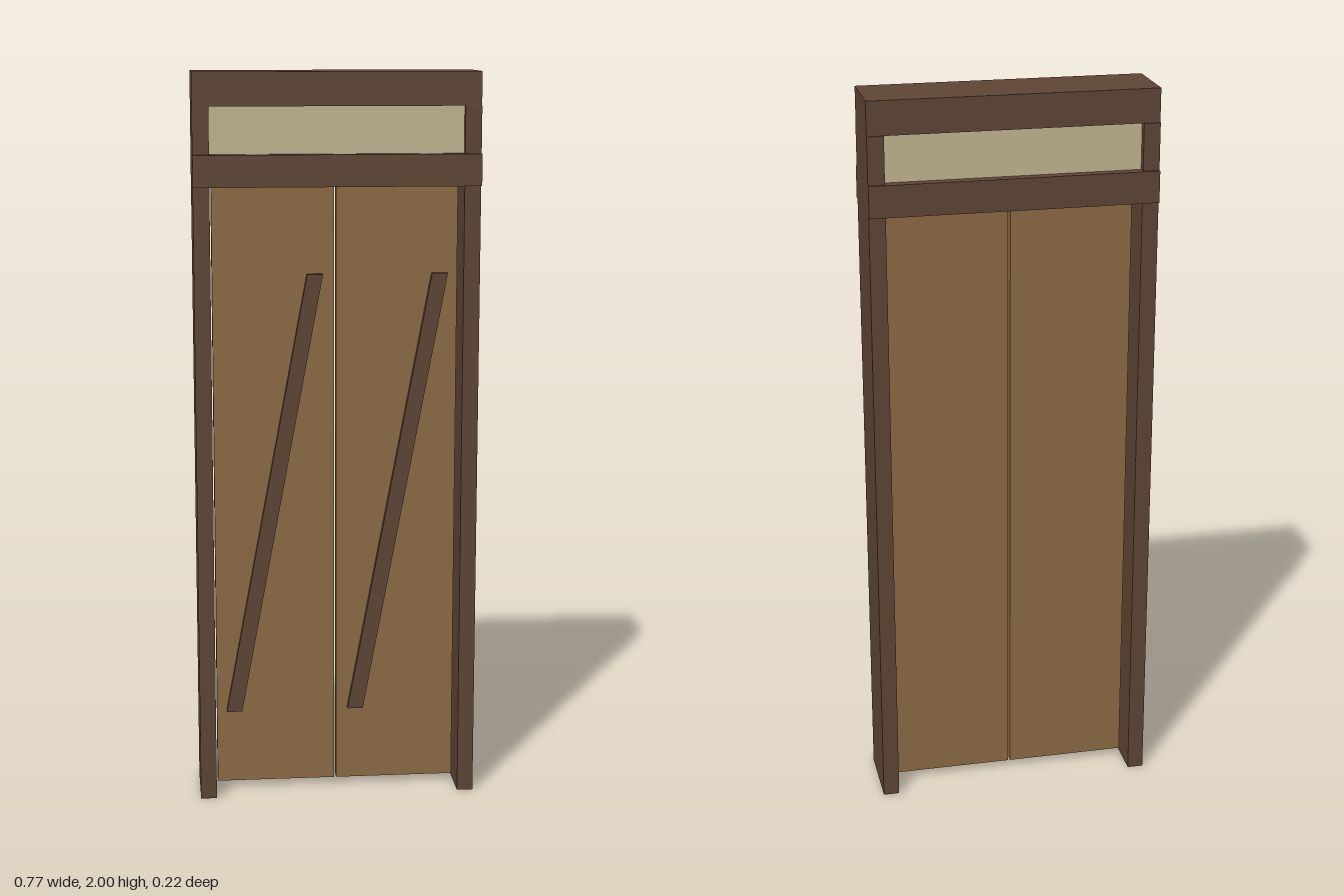
import * as THREE from 'three';

export function createModel() {
  const model = new THREE.Group();
  model.name = 'doubleDoor';

  const material = (name, color) => {
    const m = new THREE.MeshStandardMaterial({ color });
    m.name = name;
    return m;
  };
  const darkWood = material('darkWood', 0x5f4635);
  const lightWood = material('lightWood', 0x8c6b45);
  const paleGlass = material('paleGlass', 0xc2b592);

  // Box given by its lower and upper limits on each axis
  const addBox = (name, mat, [x0, x1], [y0, y1], [z0, z1]) => {
    const mesh = new THREE.Mesh(new THREE.BoxGeometry(x1 - x0, y1 - y0, z1 - z0), mat);
    mesh.position.set((x0 + x1) / 2, (y0 + y1) / 2, (z0 + z1) / 2);
    mesh.name = name;
    model.add(mesh);
  };

  const half = 0.383, inner = 0.339;
  const doorFront = 0.014, doorBack = -0.024;

  // Frame: header, transom rail and the window between them
  addBox('header', darkWood, [-half, half], [1.91, 2], [-0.1, 0.09]);
  addBox('transomRail', darkWood, [-half, half], [1.7, 1.785], [-0.112, 0.11]);
  addBox('transomWindow', paleGlass, [-inner, inner], [1.785, 1.91], [-0.084, 0.077]);

  // Slanted pull bar with level ends, extruded forward from the door
  const bar = new THREE.Shape([
    new THREE.Vector2(-0.136, 0.23), new THREE.Vector2(-0.093, 0.23),
    new THREE.Vector2(0.136, 1.46), new THREE.Vector2(0.093, 1.46),
  ]);
  const barGeometry = new THREE.ExtrudeGeometry(bar, { depth: 0.018, bevelEnabled: false });

  for (const [side, s] of [['left', 1], ['right', -1]]) {
    const span = (a, b) => [Math.min(s * a, s * b), Math.max(s * a, s * b)];
    addBox(side + 'Post', darkWood, span(inner, half), [0, 1.91], [-0.104, 0.094]);
    addBox(side + 'Door', lightWood, span(0.003, 0.333), [0.02, 1.7], [doorBack, doorFront]);

    const handle = new THREE.Mesh(barGeometry, darkWood);
    handle.position.set(s * 0.17, 0, doorFront);
    handle.name = side + 'Handle';
    model.add(handle);
  }

  return model;
}
